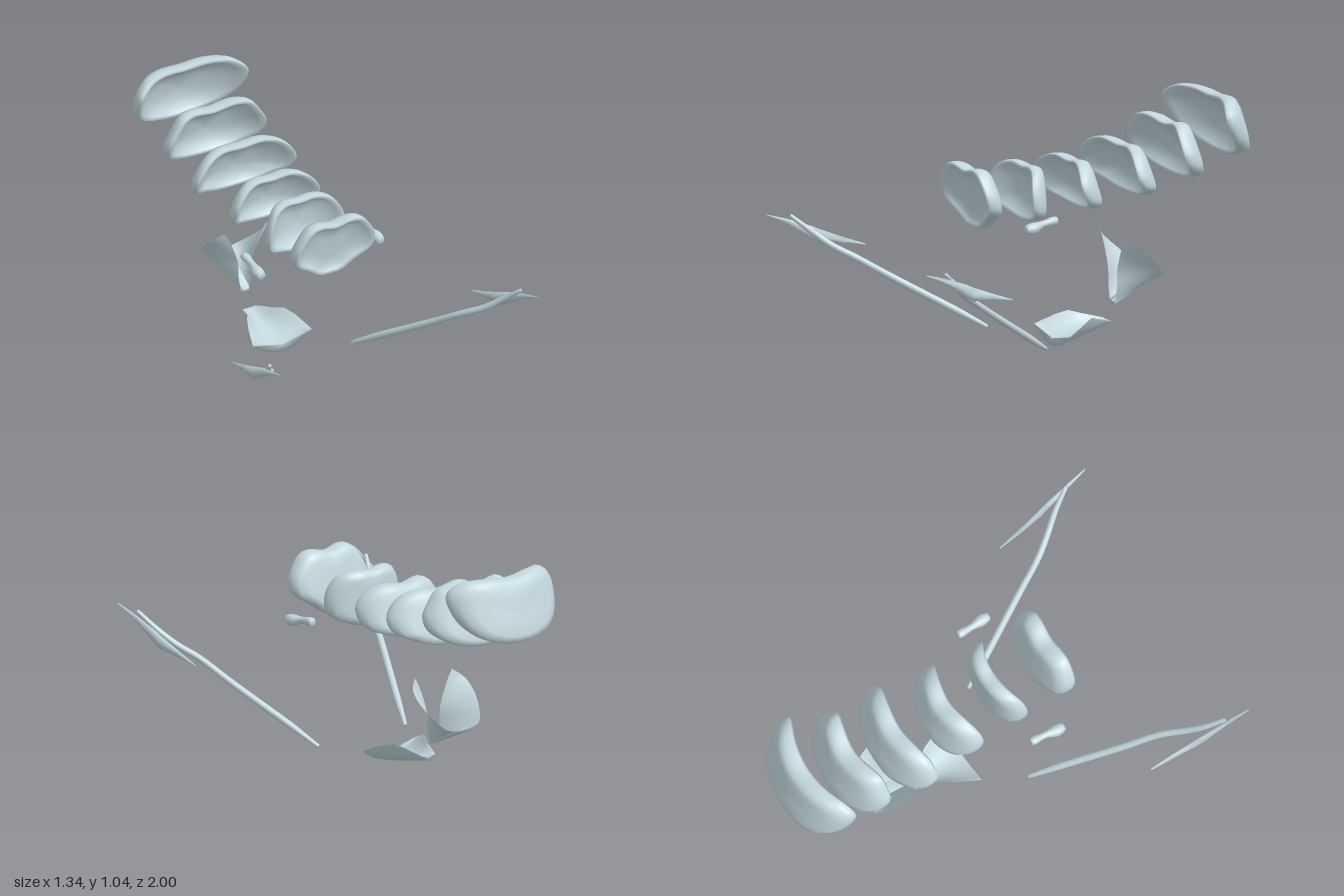
import * as THREE from 'three';

const shell = new THREE.MeshStandardMaterial({ color: 0xc4d8de });
const sheet = new THREE.MeshStandardMaterial({ color: 0xc4d8de, side: THREE.DoubleSide });
const V = (x, y, z) => new THREE.Vector3(x, y, z);
const curve = (pts, closed = false) => new THREE.CatmullRomCurve3(pts.map(p => V(...p)), closed, 'centripetal');

// Skin over successive cross-sections; closed sections are capped at both ends
function loft(sections, closed = true) {
  const rings = sections.slice();
  if (closed) {
    const collapse = ring => {
      const c = ring.reduce((s, p) => s.add(p), V(0, 0, 0)).divideScalar(ring.length);
      return ring.map(() => c);
    };
    rings.unshift(collapse(sections[0]));
    rings.push(collapse(sections[sections.length - 1]));
  }
  const n = rings[0].length, index = [];
  for (let r = 0; r < rings.length - 1; r++) {
    for (let j = 0; j < (closed ? n : n - 1); j++) {
      const a = r * n + j, b = r * n + (j + 1) % n;
      index.push(a, b, a + n, b, b + n, a + n);
    }
  }
  const g = new THREE.BufferGeometry().setFromPoints(rings.flat());
  g.setIndex(index);
  g.computeVertexNormals();
  return g;
}

// Round bar along a curve with changing radius
function sweep(pts, radii, steps = 32, sides = 12) {
  const path = curve(pts), frames = path.computeFrenetFrames(steps);
  const rings = [];
  for (let i = 0; i <= steps; i++) {
    const f = i / steps * (radii.length - 1), k = Math.min(Math.floor(f), radii.length - 2);
    const r = THREE.MathUtils.lerp(radii[k], radii[k + 1], f - k), c = path.getPointAt(i / steps);
    rings.push(Array.from({ length: sides }, (_, j) => {
      const a = j / sides * Math.PI * 2;
      return c.clone().addScaledVector(frames.normals[i], r * Math.cos(a))
        .addScaledVector(frames.binormals[i], r * Math.sin(a));
    }));
  }
  return loft(rings);
}

function mirrored(geometry) {
  const g = geometry.clone().scale(-1, 1, 1), ix = g.index.array;
  for (let i = 0; i < ix.length; i += 3) [ix[i], ix[i + 1]] = [ix[i + 1], ix[i]];
  g.computeVertexNormals();
  return g;
}

// Dished segment plate: right half outline runs from top centre to bottom centre
function plateGeometry({ half, zTop, zBottom, forward, thick, dish }) {
  const outline = half.concat(half.slice(1, -1).reverse().map(([x, y]) => [-x, y]));
  const rim = curve(outline.map(([x, y]) => [x, y, 0]), true).getPoints(64).slice(0, -1);
  const top = half[0][1], bottom = half[half.length - 1][1], cy = (top + bottom) / 2;
  const width = Math.max(...half.map(p => p[0]));
  // scale of the outline and offset along z, from the front hollow over the rim to the back
  const profile = [[0.05, -dish], [0.4, -0.85 * dish], [0.7, -0.3 * dish], [0.86, 0.25 * thick],
    [0.95, 0.4 * thick], [0.99, 0.2 * thick], [1, -0.15 * thick], [0.985, -0.5 * thick],
    [0.92, -0.85 * thick], [0.75, -thick], [0.4, -thick], [0.05, -thick]];
  return loft(profile.map(([s, dz]) => rim.map(p => {
    const x = p.x * s, y = cy + (p.y - cy) * s;
    const t = (top - y) / (top - bottom);
    const bend = forward * (1.15 - 0.4 * t) * (Math.abs(x) / width) ** 2.6;
    return V(x, y, zTop + (zBottom - zTop) * t + bend + dz);
  })));
}

const plates = [
  { half: [[0, .852], [.08, .868], [.13, .858], [.175, .81], [.203, .75], [.195, .69], [.12, .635], [.055, .59], [0, .585]],
    zTop: .38, zBottom: .325, forward: .02, thick: .06, dish: .005 },
  { half: [[0, .835], [.08, .842], [.14, .825], [.18, .77], [.195, .7], [.18, .645], [.1, .605], [0, .588]],
    zTop: .085, zBottom: .08, forward: .065, thick: .05, dish: .02 },
  { half: [[0, .83], [.1, .84], [.17, .81], [.215, .745], [.205, .67], [.13, .63], [0, .61]],
    zTop: -.15, zBottom: -.21, forward: .075, thick: .055, dish: .025 },
  { half: [[0, .87], [.12, .88], [.2, .85], [.255, .77], [.245, .71], [.18, .675], [.1, .647], [0, .64]],
    zTop: -.405, zBottom: -.475, forward: .075, thick: .055, dish: .025 },
  { half: [[0, .935], [.12, .955], [.175, .945], [.22, .89], [.25, .83], [.24, .77], [.16, .715], [0, .69]],
    zTop: -.645, zBottom: -.715, forward: .07, thick: .06, dish: .03 },
  { half: [[0, 1.035], [.13, 1.045], [.22, 1.035], [.277, .985], [.262, .88], [.2, .81], [.1, .772], [0, .762]],
    zTop: -.88, zBottom: -.95, forward: .085, thick: .06, dish: .03 },
];

export function createModel() {
  const model = new THREE.Group();
  const add = (name, geometry, material = shell) => {
    const mesh = new THREE.Mesh(geometry, material);
    mesh.name = name;
    model.add(mesh);
  };
  const addPair = (name, geometry, material) => {
    add(name + 'Left', geometry, material);
    add(name + 'Right', mirrored(geometry), material);
  };

  // Row of segment plates, front to back
  plates.forEach((p, i) => add('segmentPlate' + (i + 1), plateGeometry(p)));

  // Long curved side rods
  addPair('sideRod', sweep([[.245, .06, .125], [.3, .135, .245], [.425, .295, .505], [.49, .385, .645], [.55, .44, .735], [.6, .5, .805], [.645, .575, .89]],
    [.009, .016, .016, .016, .015, .015, .014, .009]));

  // Thin pointed blades at the rod tips: x, y top, y bottom, z, half thickness
  const bladeRows = [[.664, .59, .584, 1, .004], [.652, .56, .535, .9, .009], [.64, .515, .455, .78, .013],
    [.634, .495, .433, .74, .013], [.622, .45, .42, .63, .01], [.614, .41, .403, .525, .005]];
  addPair('rodBlade', loft(bladeRows.map(([x, t, b, z, h]) =>
    [V(x, t, z), V(x + h, (t + b) / 2, z), V(x, b, z), V(x - h, (t + b) / 2, z)])));

  // Small knuckled pegs
  addPair('sidePeg', sweep([[.305, .625, .268], [.305, .627, .23], [.299, .638, .18], [.296, .648, .102]],
    [.018, .026, .026, .019, .015, .016, .02, .017], 24));

  // Fan leaves: ribs between an upright front edge and a swept-back outer edge
  const front = curve([[.02, .152, -.37], [.034, .23, -.37], [.038, .305, -.37], [.06, .375, -.37], [.085, .435, -.37], [.105, .468, -.37]]);
  const outer = curve([[.045, .262, -.58], [.09, .275, -.575], [.13, .32, -.53], [.153, .38, -.465], [.147, .43, -.41], [.105, .47, -.37]]);
  const ribs = [0, .2, .4, .6, .8, 1].map(s => Array.from({ length: 25 }, (_, j) =>
    front.getPointAt(j / 24).lerp(outer.getPointAt(j / 24), s)));
  addPair('fanLeaf', loft(ribs, false), sheet);

  // Sloping floor that joins the two leaves
  const stemRows = [[.02, .17, .148, -.37], [.028, .212, .192, -.46], [.045, .272, .255, -.585]];
  add('fanStem', loft(stemRows.map(([w, t, b, z]) => [V(-w, t, z), V(0, t - .01, z), V(w, t, z), V(w, b, z), V(-w, b, z)])));

  // Curved base plate, narrowing to the back: half width, edge height, centre height, z
  const baseRows = [[.15, .07, .006, -.06], [.137, .087, .011, -.1], [.12, .108, .02, -.15],
    [.095, .124, .032, -.2], [.062, .11, .043, -.25], [.05, .1, .054, -.29], [.034, .086, .066, -.34]];
  add('basePlate', loft(baseRows.map(([w, edge, mid, z]) => {
    const lower = [], upper = [];
    for (let i = 0; i <= 16; i++) {
      const u = i / 8 - 1, y = mid + (edge - mid) * u * u;
      upper.push(V(u * w, y + .018 * (1 - u * u), z));
      lower.unshift(V(u * w, y - .004, z));
    }
    return upper.concat(lower);
  })));

  return model;
}
